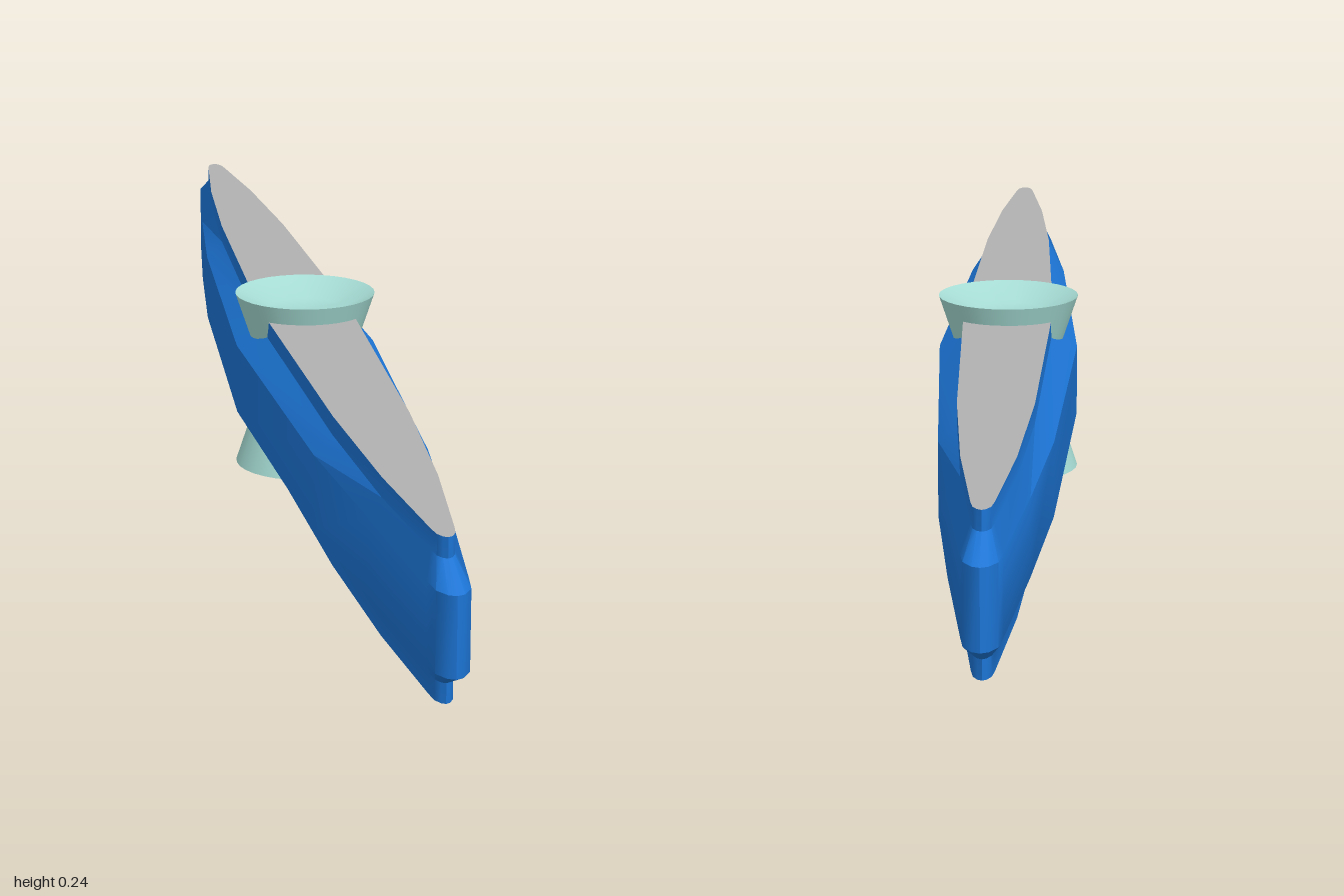
import * as THREE from 'three';
import { toCreasedNormals } from 'three/addons/utils/BufferGeometryUtils.js';

// Quarter outlines [half-width, z] from the middle to the rounded tip
const OUTER = [[0.094, 0], [0.07, 0.5], [0.047, 0.74], [0.023, 0.95], [0.019, 0.98], [0.009, 0.996], [0, 1]];
const INNER = [[0.061, 0], [0.047, 0.5], [0.032, 0.74], [0.013, 0.92], [0.01, 0.938], [0.005, 0.947], [0, 0.95]];

// Mirror a quarter outline into a full closed ring
function ring(quarter) {
  const half = [...quarter, ...quarter.slice(0, -1).reverse().map(([x, z]) => [-x, z])];
  return [...half, ...half.slice(1, -1).reverse().map(([x, z]) => [x, -z])];
}

// Skin of quads through rings stacked upwards
function loft(levels) {
  const pos = [], index = [];
  const n = ring(OUTER).length;
  for (const [quarter, y] of levels) for (const [x, z] of ring(quarter)) pos.push(x, y, z);
  for (let l = 0; l < levels.length - 1; l++) {
    for (let i = 0; i < n; i++) {
      const a = l * n + i, b = l * n + (i + 1) % n;
      index.push(a, a + n, b, b, a + n, b + n);
    }
  }
  const geo = new THREE.BufferGeometry();
  geo.setAttribute('position', new THREE.Float32BufferAttribute(pos, 3));
  geo.setIndex(index);
  return toCreasedNormals(geo, 0.6);
}

// Flat lid in the shape of the inner outline
function lid(y, up) {
  const shape = new THREE.Shape(ring(INNER).map(([x, z]) => new THREE.Vector2(x, z)));
  return new THREE.ShapeGeometry(shape).rotateX(up ? -Math.PI / 2 : Math.PI / 2).translate(0, y, 0);
}

export function createModel() {
  const model = new THREE.Group();
  const blue = new THREE.MeshStandardMaterial({ color: 0x1c74d4 });
  const teal = new THREE.MeshStandardMaterial({ color: 0xa5dbd3, side: THREE.DoubleSide });
  const grey = new THREE.MeshStandardMaterial({ color: 0xb0b0b0 });
  const add = (name, geo, mat) => {
    const mesh = new THREE.Mesh(geo, mat);
    mesh.name = name;
    model.add(mesh);
  };

  // Long pointed body: thin plates above and below a bevelled core
  add('body', loft([
    [INNER, 0.025], [INNER, 0.049], [OUTER, 0.073],
    [OUTER, 0.167], [INNER, 0.191], [INNER, 0.215],
  ]), blue);
  add('topPlate', lid(0.215, true), grey);
  add('bottomPlate', lid(0.025, false), blue);

  // Flared hub ends: a dished cup on top, a flat foot below
  const turned = (points) => toCreasedNormals(
    new THREE.LatheGeometry(points.map(([r, y]) => new THREE.Vector2(r, y)), 32), 0.5);
  add('hubCup', turned([[0.06, 0.135], [0.095, 0.239], [0.05, 0.217], [0, 0.217]]), teal);
  add('hubFoot', turned([[0, 0], [0.095, 0], [0.06, 0.105]]), teal);

  return model;
}
